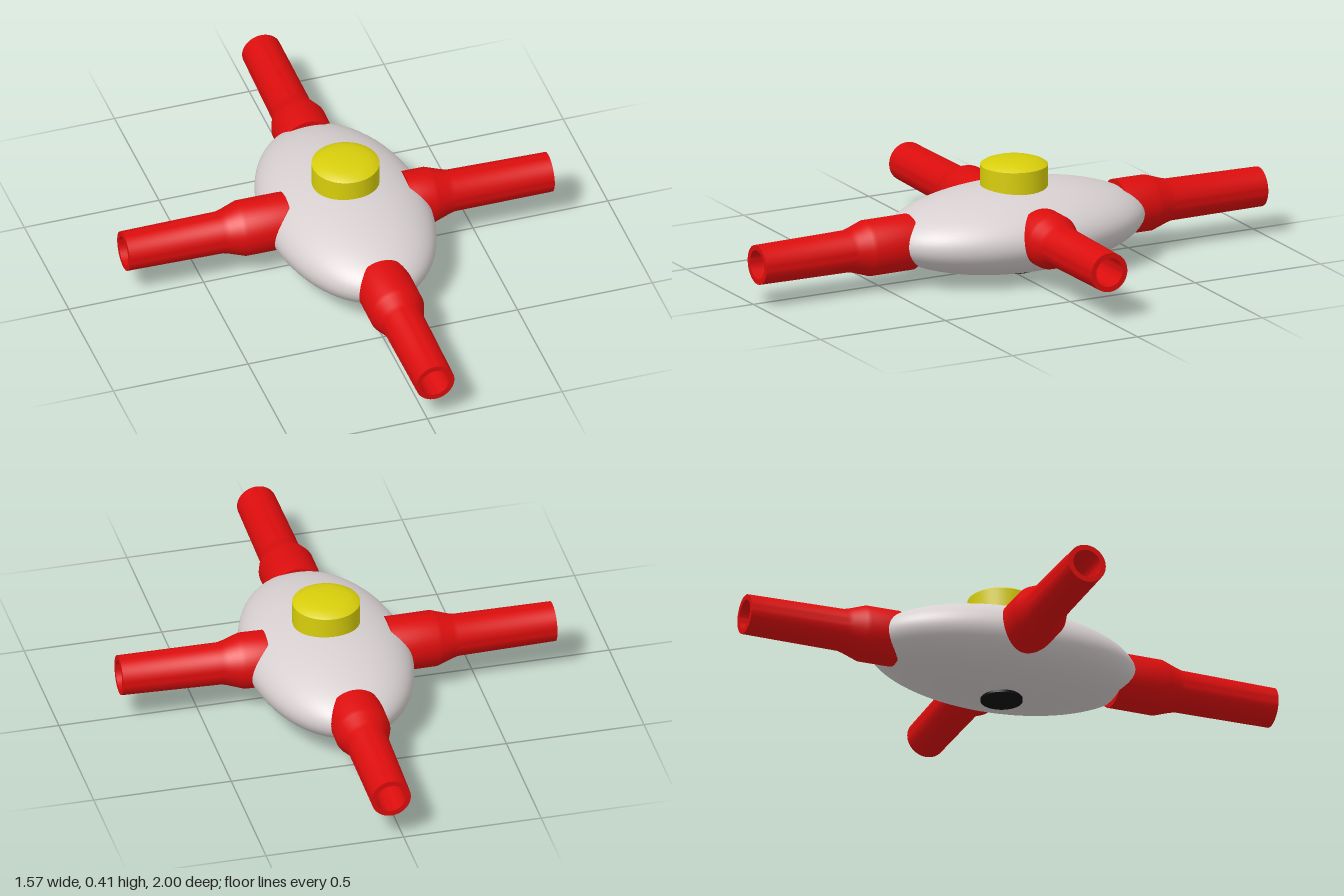
import * as THREE from 'three';
import { toCreasedNormals } from 'three/addons/utils/BufferGeometryUtils.js';

const mat = (name, color) => {
  const m = new THREE.MeshStandardMaterial({ color });
  m.name = name;
  return m;
};

// Solid of revolution with crisp corners and smooth sides
const lathe = (points, segments = 48) =>
  toCreasedNormals(new THREE.LatheGeometry(points.map(p => new THREE.Vector2(...p)), segments), 0.6);

export function createModel() {
  const group = new THREE.Group();
  const grey = mat('light grey', 0xd8d0d0);
  const red = mat('red', 0xdc0d0d);
  const yellow = mat('yellow', 0xd8ce0c);
  const black = mat('black', 0x101010);
  const add = (name, geometry, material) => {
    const mesh = new THREE.Mesh(geometry, material);
    mesh.name = name;
    group.add(mesh);
    return mesh;
  };

  // Flattened oval body
  const body = add('body', new THREE.SphereGeometry(1, 64, 40), grey);
  body.scale.set(0.295, 0.155, 0.5);
  body.position.set(0.035, 0.16, -0.025);

  // Domed button on top
  const button = add('topButton', lathe([
    [0, 0.27], [0.12, 0.27], [0.12, 0.383], [0.108, 0.391], [0.085, 0.399], [0.05, 0.404], [0, 0.405],
  ]), yellow);
  button.position.set(0.035, 0, -0.025);

  // Round pad underneath
  const pad = add('bottomPad', new THREE.CylinderGeometry(0.075, 0.075, 0.03, 40), black);
  pad.position.set(0.035, 0.015, -0.025);

  // Hollow pipes with a wide collar: base centre, tip centre, collar length
  const pipes = [
    ['frontPipe', [0.032, 0.155, 0.395], [0.029, 0.152, 1], 0.17],
    ['backPipe', [0.034, 0.168, -0.433], [0.045, 0.168, -1], 0.123],
    ['leftPipe', [0.255, 0.176, -0.016], [0.783, 0.179, -0.004], 0.085],
    ['rightPipe', [-0.185, 0.176, -0.037], [-0.785, 0.179, -0.037], 0.165],
  ];
  for (const [name, from, to, collar] of pipes) {
    const base = new THREE.Vector3(...from);
    const axis = new THREE.Vector3(...to).sub(base);
    const len = axis.length();
    const pipe = add(name, lathe([
      [0.052, 0], [0.1, 0], [0.1, collar], [0.095, collar + 0.015], [0.08, collar + 0.06],
      [0.075, collar + 0.08], [0.071, len], [0.052, len], [0.052, 0],
    ]), red);
    pipe.position.copy(base);
    pipe.quaternion.setFromUnitVectors(new THREE.Vector3(0, 1, 0), axis.normalize());
  }
  return group;
}
